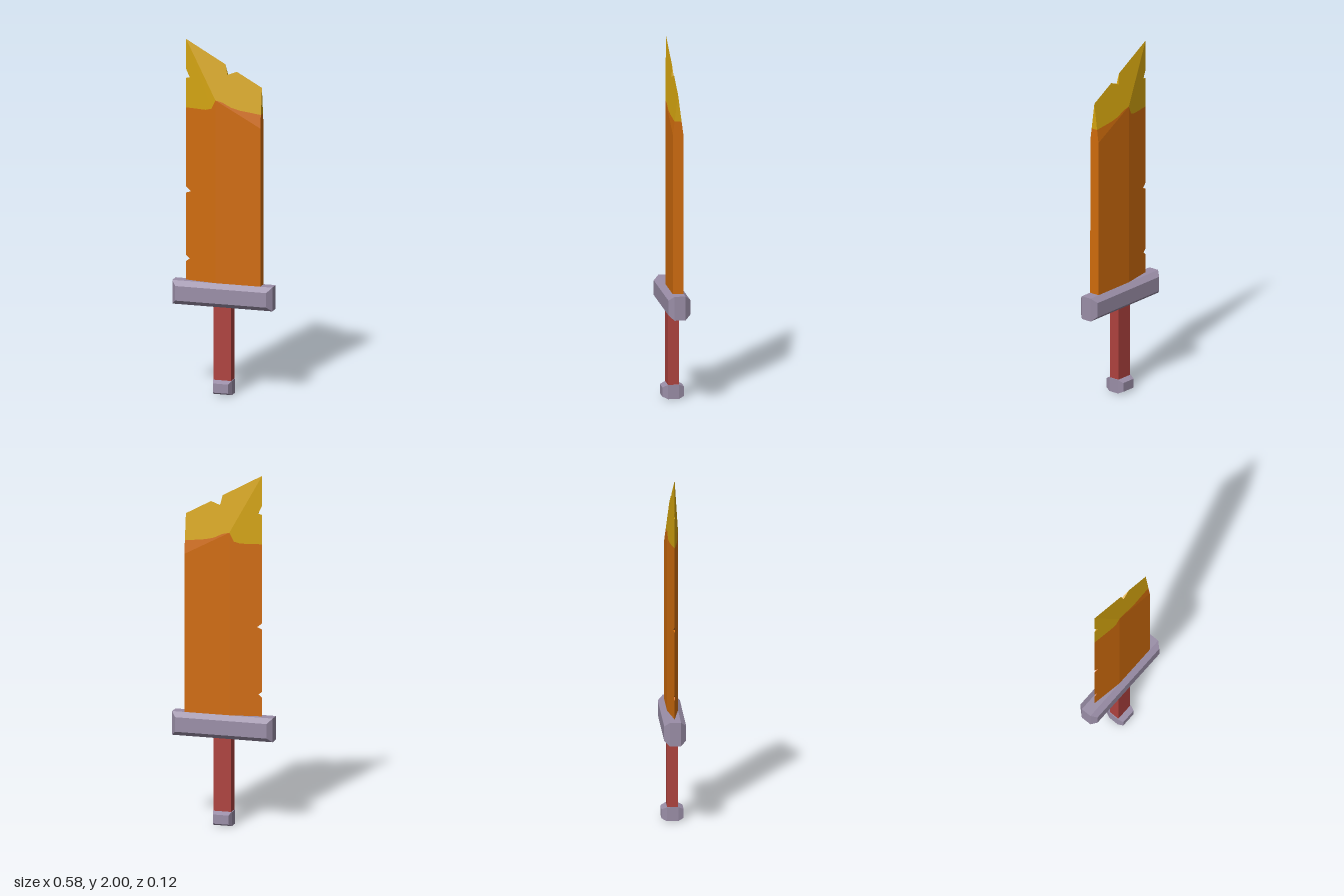
import * as THREE from 'three';
import { ConvexGeometry } from 'three/addons/geometries/ConvexGeometry.js';

const mat = (name, color) => {
  const m = new THREE.MeshStandardMaterial({ color });
  m.name = name;
  return m;
};

// Half thickness of the blade: sharp along the left edge and the slanted top, flat elsewhere
const halfThickness = (x, y) => {
  const topY = 2 - 0.557 * (x + 0.22);
  return 0.03 * Math.max(0, Math.min(1, (x + 0.22) / 0.18, (topY - y) / 0.23));
};

// One facet of the blade, front and back. The first `walls` edges are on the outline and get closed.
function bladeFacet(points, walls) {
  const pos = [];
  const v = (p, side) => [p[0], p[1], side * halfThickness(p[0], p[1])];
  const tri = (a, b, c) => pos.push(...a, ...b, ...c);
  const contour = points.map(([x, y]) => new THREE.Vector2(x, y));
  for (const face of THREE.ShapeUtils.triangulateShape(contour, [])) {
    const [a, b, c] = face.map((i) => points[i]);
    tri(v(a, 1), v(b, 1), v(c, 1));
    tri(v(c, -1), v(b, -1), v(a, -1));
  }
  for (let i = 0; i < walls; i++) {
    const a = points[i], b = points[i + 1];
    tri(v(a, 1), v(a, -1), v(b, -1));
    tri(v(a, 1), v(b, -1), v(b, 1));
  }
  const g = new THREE.BufferGeometry();
  g.setAttribute('position', new THREE.Float32BufferAttribute(pos, 3));
  g.computeVertexNormals();
  return g;
}

// Block whose front and back faces are inset behind sloping borders
function bevelledBlock(x, y0, y1, zSide, zFace, insetX, insetY) {
  const pts = [];
  for (const s of [-1, 1]) {
    for (const sx of [-1, 1]) {
      pts.push(new THREE.Vector3(sx * x, y0, s * zSide), new THREE.Vector3(sx * x, y1, s * zSide));
      pts.push(new THREE.Vector3(sx * (x - insetX), y0 + insetY, s * zFace));
      pts.push(new THREE.Vector3(sx * (x - insetX), y1 - insetY, s * zFace));
    }
  }
  return new ConvexGeometry(pts);
}

export function createModel() {
  const orange = mat('bladeOrange', 0xd06c0c);
  const gold = mat('tipGold', 0xd4a40f);
  const metal = mat('greyMetal', 0x9a8ea7);
  const red = mat('gripRed', 0xae423e);

  const model = new THREE.Group();
  model.name = 'sword';
  const add = (parent, name, geometry, material) => {
    const mesh = new THREE.Mesh(geometry, material);
    mesh.name = name;
    parent.add(mesh);
    return mesh;
  };

  const blade = new THREE.Group();
  blade.name = 'blade';
  model.add(blade);

  // Colour border, from the cutting edge to the ridge and from the ridge to the blunt side
  const borderLeft = [[-0.22, 1.61], [-0.1, 1.61], [-0.065, 1.62], [-0.04, 1.67]];
  const borderRight = [[-0.04, 1.67], [0, 1.66], [0.05, 1.635], [0.1, 1.622], [0.22, 1.605]];

  // Orange lower blade: chipped cutting bevel, flat, and start of the top bevel
  add(blade, 'cuttingBevel', bladeFacet([
    [-0.22, 1.61], [-0.22, 1.16], [-0.19, 1.135], [-0.22, 1.125],
    [-0.22, 0.77], [-0.198, 0.752], [-0.22, 0.735], [-0.22, 0.6],
    [-0.04, 0.6], ...borderLeft.slice(1).reverse(),
  ], 7), orange);
  add(blade, 'bladeFlat', bladeFacet([[0.22, 0.6], [0.22, 1.53], [-0.04, 1.67], [-0.04, 0.6]], 1), orange);
  add(blade, 'topBevelBase', bladeFacet([[0.22, 1.53], ...borderRight.slice().reverse()], 1), orange);

  // Gold tip with its chips
  add(blade, 'tipTopBevel', bladeFacet([
    [0.22, 1.605], [0.22, 1.755], [0.075, 1.835], [0.022, 1.813], [0.008, 1.873], [-0.22, 2],
    ...borderRight.slice(0, -1),
  ], 5), gold);
  add(blade, 'tipCuttingBevel', bladeFacet([
    [-0.22, 2], [-0.22, 1.83], [-0.197, 1.782], [-0.22, 1.778], ...borderLeft,
  ], 4), gold);

  // Hilt
  add(model, 'guard', bevelledBlock(0.29, 0.495, 0.63, 0.031, 0.061, 0.026, 0.026), metal);
  add(model, 'grip', new THREE.BoxGeometry(0.1, 0.46, 0.06).translate(0, 0.28, 0), red);
  add(model, 'pommel', bevelledBlock(0.055, 0, 0.08, 0.031, 0.061, 0.011, 0.014), metal);

  return model;
}
